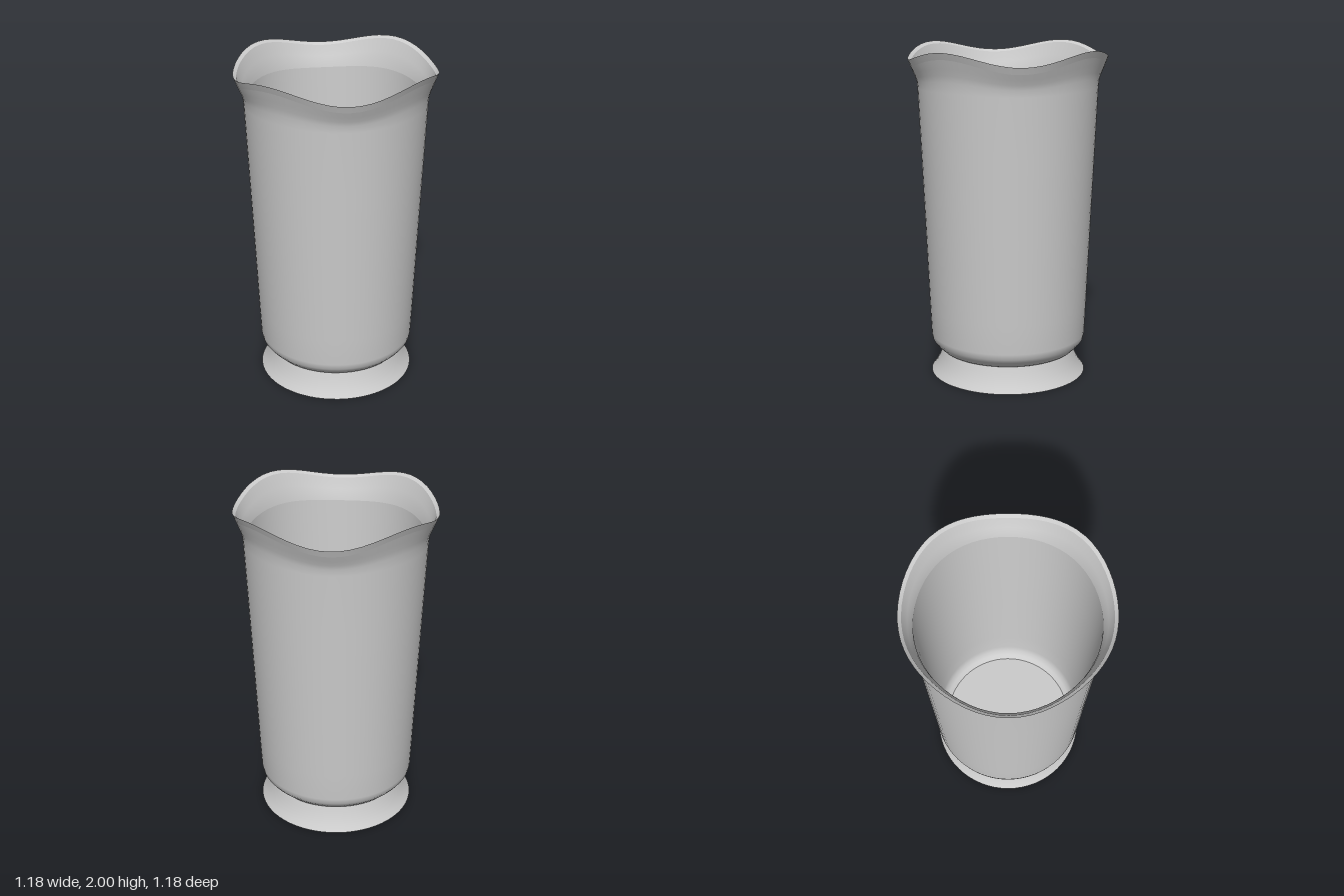
import * as THREE from 'three';
import { mergeVertices } from 'three/addons/utils/BufferGeometryUtils.js';

const SEGMENTS = 64;
const material = new THREE.MeshStandardMaterial({ color: 0xcccccc });

// Lowers the lip between its four peaks, fading out down the wall
function waveDrop(x, y, z) {
  const fade = THREE.MathUtils.clamp((y - 1.74) / 0.22, 0, 1);
  return 0.035 * (1 - Math.cos(4 * Math.atan2(z, x))) * fade;
}

// Revolves a profile of [radius, height] points into one smooth surface
function turned(name, profile) {
  const points = profile.map(([r, y]) => new THREE.Vector2(r, y));
  let geometry = new THREE.LatheGeometry(points, SEGMENTS);
  const p = geometry.attributes.position;
  for (let i = 0; i < p.count; i++) {
    p.setY(i, p.getY(i) - waveDrop(p.getX(i), p.getY(i), p.getZ(i)));
  }
  // Weld the seam so that the shading runs round without a break
  geometry.deleteAttribute('uv');
  geometry.deleteAttribute('normal');
  geometry = mergeVertices(geometry, 1e-5);
  geometry.computeVertexNormals();
  const mesh = new THREE.Mesh(geometry, material);
  mesh.name = name;
  return mesh;
}

export function createModel() {
  const vase = new THREE.Group();
  vase.name = 'vase';

  vase.add(
    // Flared foot with a flat underside
    turned('footUnderside', [[0, 0], [0.475, 0]]),
    turned('foot', [[0.475, 0], [0.452, 0.03], [0.43, 0.07], [0.414, 0.11], [0.402, 0.145]]),

    // Outer wall: rounded base, tapered body, flaring lip
    turned('outerWall', [
      [0.402, 0.145], [0.415, 0.152], [0.448, 0.185], [0.467, 0.21], [0.474, 0.245],
      [0.482, 0.42], [0.502, 0.92], [0.522, 1.4], [0.537, 1.77], [0.541, 1.83],
      [0.55, 1.87], [0.562, 1.91], [0.577, 1.96],
    ]),
    turned('lipEdge', [[0.577, 1.96], [0.592, 2]]),

    // Top of the lip, then the inside down to the floor
    turned('rim', [[0.592, 2], [0.572, 1.985]]),
    turned('innerLip', [[0.572, 1.985], [0.558, 1.945], [0.545, 1.905], [0.53, 1.86], [0.52, 1.81]]),
    turned('innerWall', [
      [0.52, 1.81], [0.503, 1.4], [0.483, 0.92], [0.463, 0.42], [0.454, 0.26],
      [0.445, 0.215], [0.425, 0.19], [0.4, 0.17],
    ]),
    turned('innerFloor', [[0.4, 0.17], [0, 0.17]]),
  );
  return vase;
}
